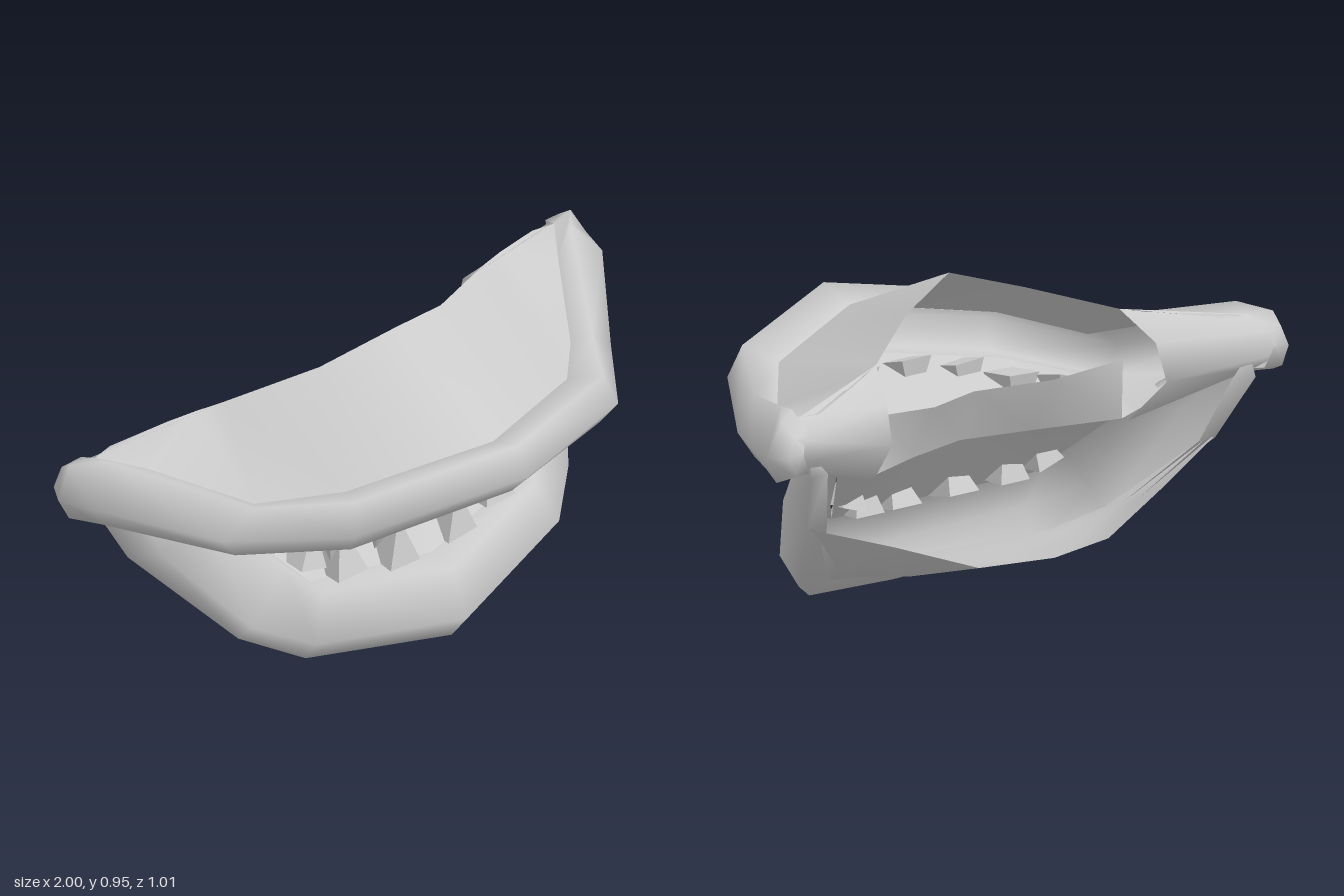
import * as THREE from 'three';

const V = (p) => new THREE.Vector3(...p);
const flip = (row) => row.map(([x, y, z]) => [-x, y, z]);
// Extend a half row of points, or a half list of sections, from x = 0 to the full width
const mirrorRow = (half) => [...flip(half.slice(1)).reverse(), ...half];
const mirrorSections = (half) => [...half.slice(1).reverse().map(flip), ...half];

// Smooth surface through rows of points; normal is row step x column step
function loft(rows) {
  const n = rows[0].length, index = [];
  for (let i = 0; i < rows.length - 1; i++) {
    for (let j = 0; j < n - 1; j++) {
      const a = i * n + j, b = a + n;
      index.push(a, b, a + 1, b, b + 1, a + 1);
    }
  }
  const g = new THREE.BufferGeometry();
  g.setAttribute('position', new THREE.Float32BufferAttribute(rows.flat(2), 3));
  g.setIndex(index);
  g.computeVertexNormals();
  return g;
}

export function createModel() {
  const group = new THREE.Group();
  const grey = new THREE.MeshStandardMaterial({ color: 0xcccccc, side: THREE.DoubleSide });
  grey.name = 'grey';
  const greyFlat = new THREE.MeshStandardMaterial({ color: 0xcccccc, flatShading: true });
  greyFlat.name = 'greyFlat';
  const add = (name, geometry, material = grey) => {
    const m = new THREE.Mesh(geometry, material);
    m.name = name;
    group.add(m);
    return m;
  };

  // Lip shells: each section runs from inner bottom round the front to inner top
  add('upperLip', loft(mirrorSections([
    [[0, 0.64, 0.35], [0, 0.645, 0.44], [0, 0.73, 0.51], [0, 0.82, 0.47], [0, 0.775, 0.36]],
    [[0.42, 0.58, 0.18], [0.47, 0.575, 0.28], [0.5, 0.655, 0.33], [0.47, 0.75, 0.3], [0.42, 0.71, 0.2]],
    [[0.6, 0.53, 0], [0.68, 0.513, 0.02], [0.735, 0.59, 0.03], [0.64, 0.68, 0.06], [0.6, 0.65, 0.01]],
    [[0.79, 0.57, -0.3], [0.9, 0.548, -0.31], [0.965, 0.65, -0.27], [0.88, 0.76, -0.31], [0.78, 0.72, -0.25]],
    [[0.87, 0.575, -0.37], [0.96, 0.56, -0.38], [1, 0.64, -0.38], [0.95, 0.735, -0.39], [0.87, 0.735, -0.37]],
    [[0.88, 0.585, -0.43], [0.94, 0.585, -0.44], [0.965, 0.64, -0.44], [0.94, 0.7, -0.435], [0.88, 0.715, -0.42]],
    Array(5).fill([0.91, 0.645, -0.44]),
  ])));
  add('lowerLip', loft(mirrorSections([
    [[0, 0.08, 0.12], [0, 0, 0.18], [0, 0.09, 0.245], [0, 0.24, 0.19], [0, 0.25, 0.1]],
    [[0.42, 0.11, -0.02], [0.44, 0.055, 0.05], [0.46, 0.15, 0.12], [0.4, 0.28, 0.08], [0.39, 0.28, 0.01]],
    [[0.54, 0.18, -0.13], [0.59, 0.13, -0.07], [0.6, 0.21, 0], [0.47, 0.36, 0], [0.44, 0.34, -0.04]],
    [[0.72, 0.38, -0.33], [0.79, 0.375, -0.32], [0.77, 0.44, -0.2], [0.6, 0.5, -0.17], [0.56, 0.48, -0.2]],
    [[0.78, 0.56, -0.4], [0.86, 0.56, -0.415], [0.86, 0.59, -0.35], [0.78, 0.61, -0.29], [0.74, 0.6, -0.3]],
    Array(5).fill([0.85, 0.63, -0.4]),
  ])));

  // Roof rising from the upper lip to its open back edge
  add('roof', loft([
    mirrorRow([[0, 0.95, -0.06], [0.23, 0.88, -0.13], [0.47, 0.8, -0.265], [0.55, 0.785, -0.3], [0.63, 0.77, -0.33], [0.8, 0.735, -0.385]]),
    mirrorRow([[0, 0.775, 0.36], [0.21, 0.743, 0.28], [0.42, 0.71, 0.2], [0.6, 0.65, 0.01], [0.78, 0.72, -0.25], [0.87, 0.735, -0.37]]),
  ]));

  // Rounded cheeks closing the upper back corners
  const cheekInner = [[0.47, 0.8, -0.265], [0.52, 0.71, -0.365], [0.53, 0.6, -0.4], [0.49, 0.47, -0.28]];
  const cheekOuter = [[0.87, 0.735, -0.375], [0.93, 0.69, -0.435], [0.94, 0.62, -0.438], [0.89, 0.575, -0.38]];
  add('leftCheek', loft([cheekInner, cheekOuter]));
  add('rightCheek', loft([flip(cheekOuter), flip(cheekInner)]));

  // Throat strip between the cheeks
  const throatTop = mirrorRow([[0, 0.62, -0.165], [0.23, 0.63, -0.25], [0.48, 0.65, -0.27]]);
  const throatHalf = [[0, 0.465, -0.105], [0.23, 0.465, -0.16], [0.48, 0.475, -0.265]];
  const throatBottom = mirrorRow(throatHalf);
  add('throat', loft([throatTop, throatBottom]));

  // Mouth linings from the throat to the upper and lower lips
  add('upperLining', loft([
    mirrorRow([[0, 0.64, 0.35], [0.42, 0.58, 0.18], [0.6, 0.53, 0], [0.79, 0.57, -0.3]]),
    mirrorRow([...throatHalf, [0.52, 0.5, -0.29]]),
  ]));
  add('lowerLining', loft([
    throatBottom,
    mirrorRow([[0, 0.25, 0.1], [0.39, 0.28, 0.01], [0.56, 0.48, -0.2]]),
  ]));

  // Chin floor running back under the lower lip
  add('chinFloor', loft([
    [[0, 0.195, -0.505], [0.25, 0.2, -0.46], [0.53, 0.3, -0.4], [0.78, 0.38, -0.325]],
    [[0, 0.15, -0.3], [0.34, 0.155, -0.27], [0.55, 0.235, -0.27], [0.77, 0.38, -0.325]],
    [[0, 0.125, -0.08], [0.38, 0.135, -0.13], [0.55, 0.2, -0.19], [0.75, 0.38, -0.325]],
    [[0, 0.08, 0.12], [0.42, 0.11, -0.02], [0.54, 0.18, -0.13], [0.72, 0.38, -0.33]],
  ].map(mirrorRow)));

  // Teeth: [base], [tip], base radius
  const teeth = {
    upperTooth: [
      [[0.1, 0.62, 0.24], [0.1, 0.46, 0.2], 0.08],
      [[0.26, 0.595, 0.19], [0.27, 0.415, 0.155], 0.078],
      [[0.36, 0.57, 0.07], [0.35, 0.355, 0.055], 0.08],
      [[0.45, 0.56, -0.04], [0.42, 0.465, -0.06], 0.07],
    ],
    lowerTooth: [
      [[0.11, 0.26, 0.05], [0.11, 0.41, 0.075], 0.08],
      [[0.28, 0.28, 0.02], [0.28, 0.44, 0.015], 0.078],
      [[0.38, 0.32, -0.03], [0.34, 0.45, -0.03], 0.07],
    ],
  };
  for (const [name, list] of Object.entries(teeth)) {
    for (const [base, tip, r] of list) {
      for (const s of [1, -1]) {
        const b = V(base), t = V(tip);
        b.x *= s;
        t.x *= s;
        const dir = t.clone().sub(b);
        const cone = new THREE.ConeGeometry(r, dir.length(), 4).rotateY(Math.PI / 4);
        if (dir.y < 0) cone.rotateX(Math.PI);
        const tooth = add(name, cone, greyFlat);
        tooth.position.copy(b).add(t).multiplyScalar(0.5);
        tooth.quaternion.setFromUnitVectors(new THREE.Vector3(0, Math.sign(dir.y), 0), dir.normalize());
      }
    }
  }
  return group;
}
